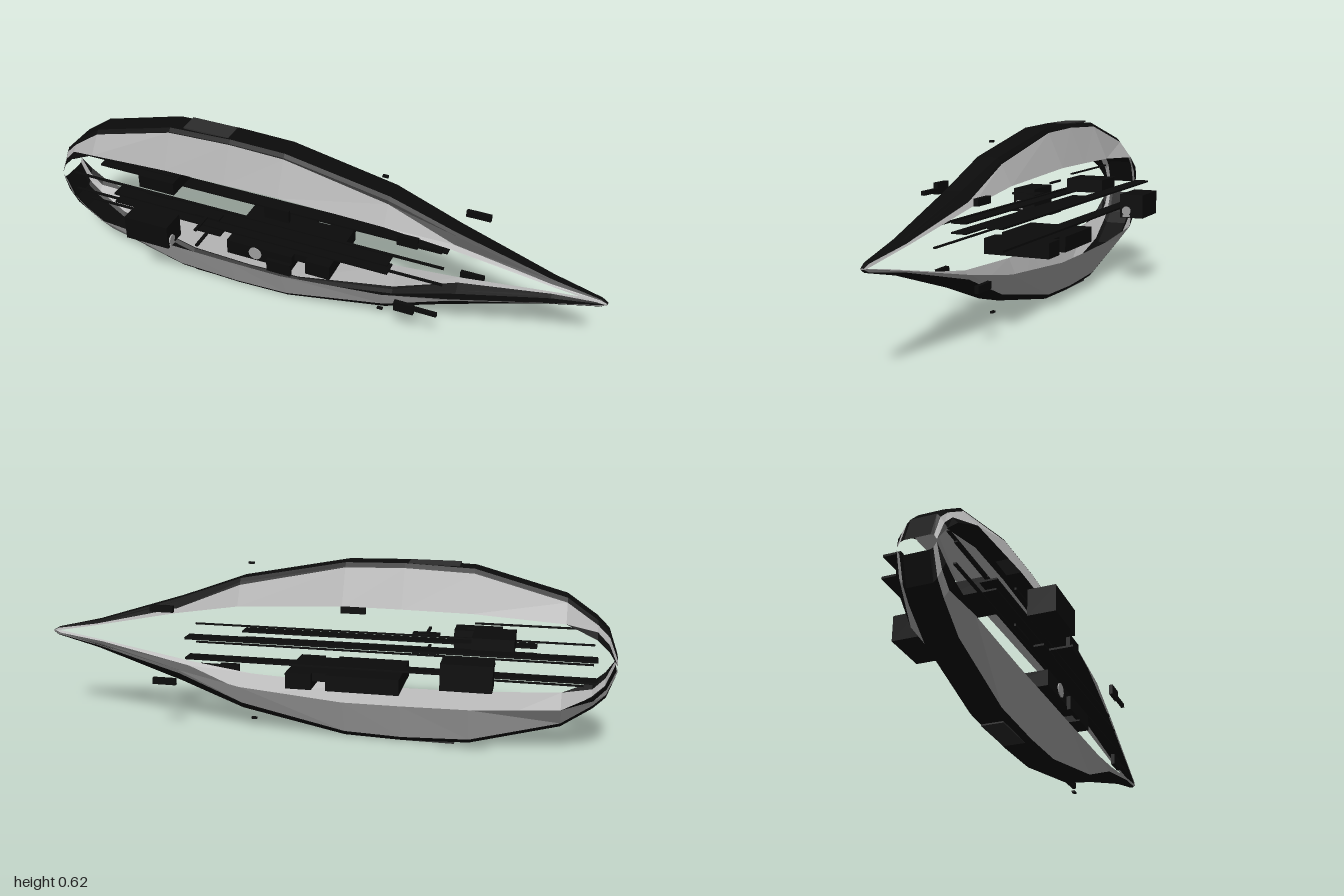
import * as THREE from 'three';

const mat = (name, color, extra = {}) => {
  const m = new THREE.MeshStandardMaterial({ color, ...extra });
  m.name = name;
  return m;
};

export function createModel() {
  const open = { side: THREE.DoubleSide, flatShading: true };
  const hullGrey = mat('hull grey', 0xb0b0b0, open);
  const black = mat('black', 0x0b0b0b, open);
  const charcoal = mat('charcoal', 0x2c2c2c);
  const lampGrey = mat('lamp grey', 0xa0a0a0);
  const root = new THREE.Group();
  root.name = 'splitHullShip';
  const MID = 0.311, CZ = 0.015;

  // Hull stations: x, spine y, rim y, spine half width, rim half width,
  // share of the side that is black at the rim, share where the grey ends
  const stations = [
    [-1.0, 0.335, 0.315, 0.05, 0.06, 0, 0.95],
    [-0.97, 0.42, 0.365, 0.05, 0.075, 0.45, 0.95],
    [-0.93, 0.46, 0.405, 0.05, 0.085, 0.5, 0.95],
    [-0.83, 0.53, 0.455, 0.05, 0.098, 0, 0.97],
    [-0.53, 0.612, 0.475, 0.05, 0.105, 0, 0.98],
    [-0.3, 0.621, 0.478, 0.05, 0.106, 0, 0.98],
    [-0.1, 0.616, 0.479, 0.049, 0.105, 0, 0.97],
    [0.27, 0.545, 0.455, 0.045, 0.085, 0, 0.88],
    [0.5, 0.462, 0.415, 0.035, 0.062, 0, 0.4],
    [0.82, 0.362, 0.346, 0.018, 0.03, 0, 0.4],
    [0.98, 0.325, 0.314, 0.008, 0.013, 0, 0.95],
    [1.0, 0.313, 0.309, 0.005, 0.007, 0, 0.95],
  ];

  // Cross-section from the front rim, over the spine, to the back rim
  const section = ([x, top, rim, ws, wr, lo, hi]) => {
    const bevel = Math.min(0.012, (top - rim) * 0.2);
    const side = [0, lo, hi, 1].map(t => [wr + (ws - wr) * t, rim + (top - bevel - rim) * t]);
    side.push([ws * 0.8, top]);
    const back = side.slice().reverse().map(([z, y]) => [-z, y]);
    return [...side, ...back].map(([z, y]) => [x, y, z + CZ]);
  };
  const rings = stations.map(section);

  // Skin between neighbouring sections, limited to the given strips
  const skin = strips => {
    const p = [];
    for (let i = 0; i < rings.length - 1; i++) {
      for (const j of strips) {
        const a = rings[i][j], b = rings[i + 1][j], c = rings[i + 1][j + 1], d = rings[i][j + 1];
        p.push(...a, ...b, ...c, ...a, ...c, ...d);
      }
    }
    const g = new THREE.BufferGeometry();
    g.setAttribute('position', new THREE.Float32BufferAttribute(p, 3));
    g.computeVertexNormals();
    return g;
  };
  const greySkin = skin([1, 7]);
  const blackSkin = skin([0, 2, 3, 4, 5, 6, 8]);

  const add = (parent, name, geo, m) => {
    const mesh = new THREE.Mesh(geo, m);
    mesh.name = name;
    parent.add(mesh);
    return mesh;
  };
  // Box given by its limits on each axis
  const box = (parent, name, x0, x1, y0, y1, z0, z1, m = black) => {
    const b = add(parent, name, new THREE.BoxGeometry(x1 - x0, y1 - y0, z1 - z0), m);
    b.position.set((x0 + x1) / 2, (y0 + y1) / 2, (z0 + z1) / 2);
    return b;
  };

  // Upper and lower halves mirror each other
  for (const s of [1, -1]) {
    const half = new THREE.Group();
    half.name = s > 0 ? 'upperHalf' : 'lowerHalf';
    half.scale.y = s;
    half.position.y = s > 0 ? 0 : 2 * MID;
    root.add(half);
    add(half, 'hullSides', greySkin, hullGrey);
    add(half, 'hullSpine', blackSkin, black);
    box(half, 'spineHatch', -0.48, -0.31, 0.617, 0.622, -0.022, 0.05, charcoal);

    // Small pods floating beside the hull
    box(half, 'frontPod', 0.33, 0.4, 0.432, 0.47, 0.127, 0.141);
    box(half, 'frontPodTail', 0.4, 0.48, 0.438, 0.452, 0.128, 0.14);
    box(half, 'sidePod', -0.14, -0.05, 0.403, 0.45, 0.127, 0.14);
    box(half, 'backPod', 0.49, 0.575, 0.43, 0.453, -0.108, -0.094);
    box(half, 'spineMarker', 0.23, 0.25, 0.59, 0.597, 0.01, 0.02);
    box(half, 'smallBar', -0.6, -0.5, 0.368, 0.376, 0.13, 0.137);

    // Long thin deck plates and rods between the halves
    box(half, 'backDeck', -0.935, 0.445, 0.343, 0.35, -0.125, -0.07);
    box(half, 'frontDeck', -0.74, 0.3, 0.325, 0.331, 0.08, 0.135);
    box(half, 'longRod', -0.93, 0.48, 0.343, 0.348, 0.09, 0.1);
    box(half, 'tailRod', -0.9, -0.53, 0.407, 0.412, 0.05, 0.06);

    // Antenna
    box(half, 'antennaBase', -0.405, -0.31, 0.34, 0.347, 0.115, 0.15);
    box(half, 'antenna', -0.365, -0.355, 0.34, 0.347, 0.14, 0.23);
  }

  // Engine boxes on both flanks, each with a round lamp
  for (const [z0, z1, lampZ] of [[0.178, 0.267, 0.243], [-0.266, -0.177, -0.203]]) {
    box(root, 'engineBox', -0.615, -0.45, 0.263, 0.351, z0, z1);
    const lamp = add(root, 'engineLamp', new THREE.CylinderGeometry(0.017, 0.017, 0.006, 16), lampGrey);
    lamp.rotation.z = Math.PI / 2;
    lamp.position.set(-0.448, 0.289, lampZ);
    box(root, 'lampFoot', -0.45, -0.446, 0.266, 0.275, lampZ - 0.014, lampZ + 0.014, lampGrey);
  }

  // Inner machinery
  box(root, 'centralCabin', -0.67, -0.53, 0.34, 0.39, -0.073, 0.075);
  box(root, 'cargoBlock', -0.3, -0.05, 0.19, 0.245, -0.122, 0.123);
  box(root, 'cargoBlockNose', 0.0, 0.09, 0.19, 0.245, -0.122, 0.123);
  box(root, 'cargoLink', -0.05, 0.0, 0.215, 0.245, -0.1, 0.1);
  const dial = add(root, 'cargoDial', new THREE.CylinderGeometry(0.024, 0.024, 0.005, 20), lampGrey);
  dial.rotation.x = Math.PI / 2;
  dial.position.set(-0.19, 0.22, 0.124);
  return root;
}
